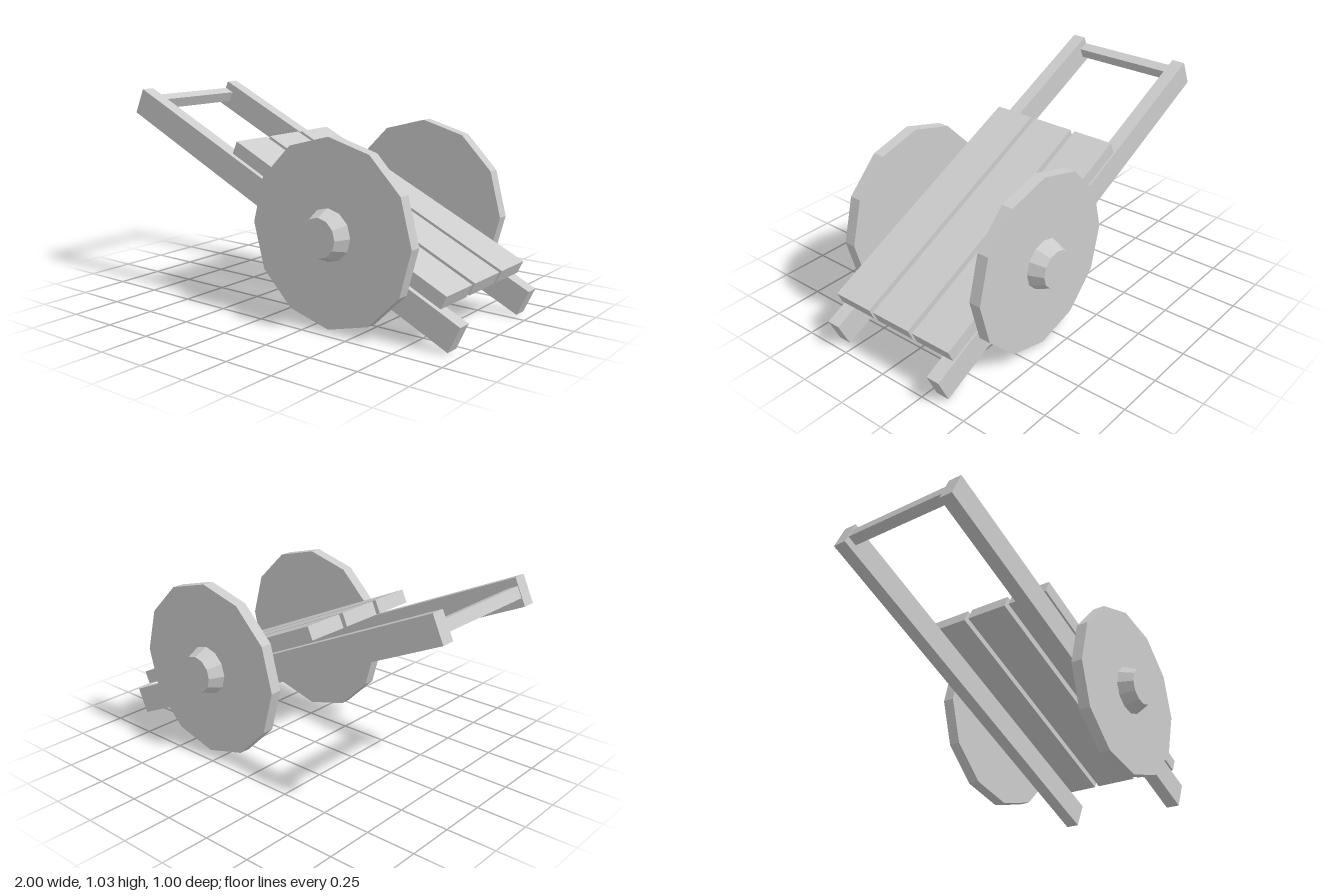
import * as THREE from 'three';

const TILT = -0.434; // slope of the cart bed, handles raised at -x

export function createModel() {
  const model = new THREE.Group();
  model.name = 'handcart';
  const material = new THREE.MeshStandardMaterial({ color: 0xcccccc, flatShading: true });

  const add = (name, geometry, x, y, z, parent = model) => {
    const mesh = new THREE.Mesh(geometry, material);
    mesh.name = name;
    mesh.position.set(x, y, z);
    parent.add(mesh);
    return mesh;
  };

  // Beam lying along the sloping bed
  const beam = (name, length, thickness, width, x, y, z) => {
    add(name, new THREE.BoxGeometry(length, thickness, width), x, y, z).rotation.z = TILT;
  };

  // Three bed planks
  for (const z of [-0.248, 0, 0.248]) {
    beam('bedPlank', 1.324, 0.068, z ? 0.22 : 0.226, 0.315, 0.505, z);
  }

  // Crossbar between the handles
  beam('handleBar', 0.054, 0.057, 0.575, -0.9425, 0.9575, 0);

  // Mirrored rails and solid wheels with tapered hubs
  for (const side of [1, -1]) {
    beam(side > 0 ? 'frontRail' : 'backRail', 2.139, 0.139, 0.071, 0, 0.52, side * 0.322);

    const wheel = new THREE.Group();
    wheel.name = side > 0 ? 'frontWheel' : 'backWheel';
    wheel.position.set(0.345, 0.45, side * 0.395);
    wheel.rotation.x = side * Math.PI / 2;
    add('wheelDisc', new THREE.CylinderGeometry(0.448, 0.448, 0.06, 12), 0, 0, 0, wheel);
    add('wheelHub', new THREE.CylinderGeometry(0.094, 0.125, 0.075, 12), 0, 0.0675, 0, wheel);
    model.add(wheel);
  }

  return model;
}
